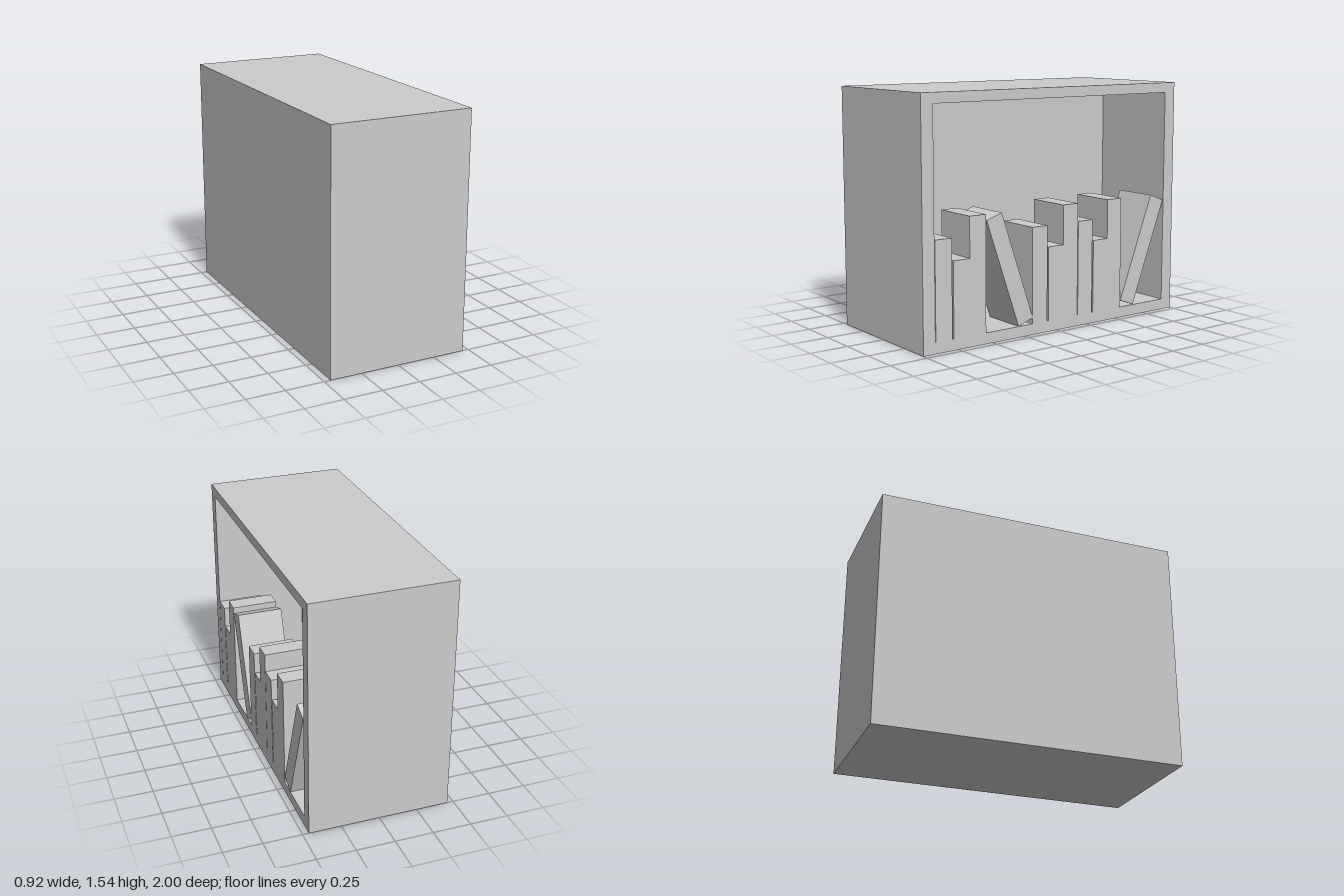
import * as THREE from 'three';

const HALF_W = 0.46, HEIGHT = 1.54, HALF_L = 1;      // outer case, open towards +x
const FLOOR = 0.07, CEILING = 1.475, HALF_OPEN = 0.917;
const BACK_X = -0.16;                                // inner face of the thick back
const BOOK_DEPTH = 0.304, BOOK_THICK = 0.118;

export function createModel() {
  const model = new THREE.Group();
  const material = new THREE.MeshStandardMaterial({ color: 0xcccccc, flatShading: true });

  const add = (name, geometry, parent = model) => {
    const mesh = new THREE.Mesh(geometry, material);
    mesh.name = name;
    parent.add(mesh);
    return mesh;
  };

  // Case frame: rectangular ring extruded along x
  const outline = new THREE.Shape([
    new THREE.Vector2(-HALF_L, 0), new THREE.Vector2(HALF_L, 0),
    new THREE.Vector2(HALF_L, HEIGHT), new THREE.Vector2(-HALF_L, HEIGHT),
  ]);
  outline.holes.push(new THREE.Path([
    new THREE.Vector2(-HALF_OPEN, FLOOR), new THREE.Vector2(-HALF_OPEN, CEILING),
    new THREE.Vector2(HALF_OPEN, CEILING), new THREE.Vector2(HALF_OPEN, FLOOR),
  ]));
  const frame = new THREE.ExtrudeGeometry(outline, { depth: HALF_W - BACK_X, bevelEnabled: false });
  frame.rotateY(Math.PI / 2);
  add('caseFrame', frame).position.x = BACK_X;

  // Thick back of the case
  const backThick = BACK_X + HALF_W;
  add('caseBack', new THREE.BoxGeometry(backThick, HEIGHT, HALF_L * 2))
    .position.set(-HALF_W + backThick / 2, HEIGHT / 2, 0);

  // Books, flush with the open side
  const books = new THREE.Group();
  books.name = 'books';
  model.add(books);
  const bookX = HALF_W - BOOK_DEPTH / 2;
  const addBook = (name, top, z, y, tilt = 0) => {
    const book = add(name, new THREE.BoxGeometry(BOOK_DEPTH, top - FLOOR, BOOK_THICK), books);
    book.position.set(bookX, y, z);
    book.rotation.x = THREE.MathUtils.degToRad(tilt);
  };

  // Upright books: [centre z, top height]
  const TALL = 0.8, MEDIUM = 0.683, SHORT = 0.545;
  [
    [0.854, MEDIUM], [0.726, SHORT], [0.608, TALL],
    [0.136, MEDIUM], [0.008, SHORT], [-0.11, TALL],
    [-0.233, MEDIUM], [-0.361, SHORT], [-0.479, TALL],
  ].forEach(([z, top]) => addBook('uprightBook', top, z, (top + FLOOR) / 2));

  // Leaning books
  addBook('leaningBook', TALL, 0.367, 0.435, 19.2);
  addBook('leaningBook', TALL, -0.727, 0.435, -20.8);

  return model;
}
